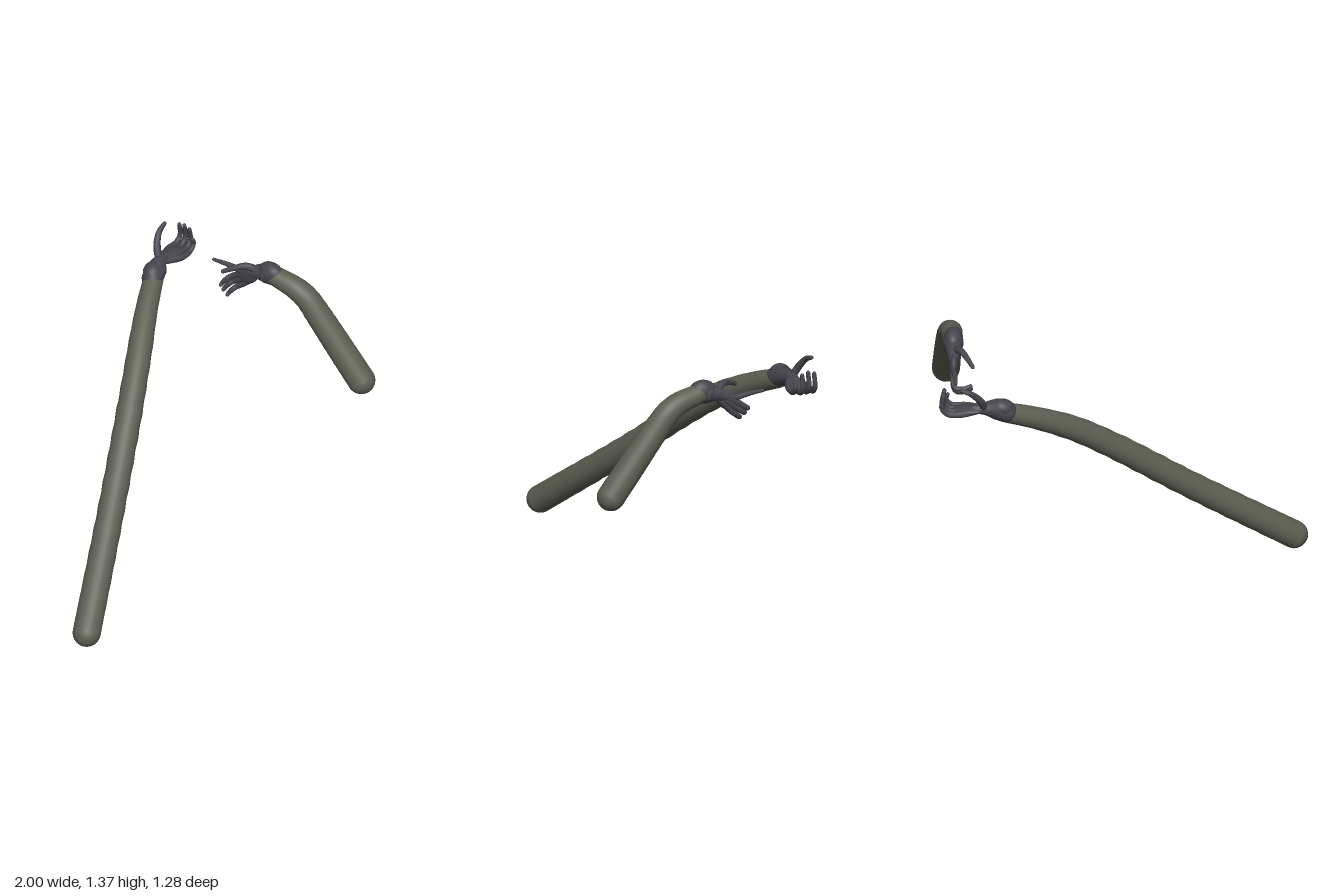
import * as THREE from 'three';
import { mergeGeometries } from 'three/addons/utils/BufferGeometryUtils.js';

const sleeveMat = new THREE.MeshStandardMaterial({ color: 0x5d5f53 });
sleeveMat.name = 'olive sleeve';
const skinMat = new THREE.MeshStandardMaterial({ color: 0x47454d });
skinMat.name = 'dark hand';

const vec = (p) => new THREE.Vector3(...p);

// Round-ended limb along a path; radii are spaced evenly along its length.
function limb(name, mat, points, radii, segments = 16, sides = 12, wobble = 0) {
  const curve = new THREE.CatmullRomCurve3(points.map(vec), false, 'centripetal');
  const radiusAt = (t) => {
    const f = t * (radii.length - 1);
    const i = Math.min(Math.floor(f), radii.length - 2);
    const wave = wobble * Math.sin(t * 95) * Math.sin(t * Math.PI);
    return THREE.MathUtils.lerp(radii[i], radii[i + 1], f - i) * (1 + wave);
  };
  const tube = new THREE.TubeGeometry(curve, segments, 1, sides);
  const pos = tube.attributes.position;
  const p = new THREE.Vector3();
  for (let i = 0; i <= segments; i++) {
    const c = curve.getPointAt(i / segments);
    for (let j = 0; j <= sides; j++) {
      const k = i * (sides + 1) + j;
      p.fromBufferAttribute(pos, k).sub(c).multiplyScalar(radiusAt(i / segments)).add(c);
      pos.setXYZ(k, p.x, p.y, p.z);
    }
  }
  const caps = [0, 1].map((t) => {
    const c = curve.getPointAt(t);
    return new THREE.SphereGeometry(radiusAt(t), sides, Math.ceil(sides / 2)).translate(c.x, c.y, c.z);
  });
  const mesh = new THREE.Mesh(mergeGeometries([tube, ...caps]), mat);
  mesh.name = name;
  return mesh;
}

// Ellipsoid with its first axis along `along` and its second close to `across`.
function ellipsoid(name, center, along, across, size) {
  const a = vec(along).normalize();
  const c = a.clone().cross(vec(across)).normalize();
  const b = c.clone().cross(a);
  const g = new THREE.SphereGeometry(1, 24, 16).scale(...size);
  g.applyMatrix4(new THREE.Matrix4().makeBasis(a, b, c));
  const mesh = new THREE.Mesh(g.translate(...center), skinMat);
  mesh.name = name;
  return mesh;
}

const finger = (name, points, radii = [0.017, 0.018, 0.015, 0.011]) =>
  limb(name, skinMat, points, radii, 18, 10);

// Long arm, palm up, with its fingers curled upwards
function longArm() {
  const arm = new THREE.Group();
  arm.name = 'longArm';
  arm.add(limb('longSleeve', sleeveMat, [
    [-0.925, 0.076, 0.208], [-0.4, 0.497, -0.04], [0, 0.835, -0.235],
    [0.2, 0.99, -0.34], [0.4, 1.11, -0.45], [0.55, 1.18, -0.525],
  ], [0.074, 0.072, 0.07, 0.069, 0.065, 0.053], 96, 24, 0.025));

  const hand = new THREE.Group();
  hand.name = 'curledHand';
  hand.add(
    limb('wrist', skinMat, [[0.54, 1.185, -0.525], [0.59, 1.205, -0.54], [0.65, 1.218, -0.56], [0.71, 1.215, -0.565]],
      [0.057, 0.056, 0.034, 0.022], 20, 20),
    ellipsoid('wristBone', [0.555, 1.215, -0.537], [0.85, 0.3, -0.35], [0, 1, 0], [0.062, 0.046, 0.05]),
    ellipsoid('palm', [0.735, 1.21, -0.56], [1, -0.05, 0.05], [0, 0, 1], [0.085, 0.05, 0.021]),
    finger('thumb', [[0.65, 1.225, -0.57], [0.672, 1.285, -0.6], [0.715, 1.335, -0.622], [0.77, 1.36, -0.628]],
      [0.021, 0.02, 0.016, 0.011]),
  );
  const tips = [1.275, 1.318, 1.328, 1.318];
  tips.forEach((y, i) => {
    const z = -0.503 - i * 0.034;
    const reach = i === 0 ? -0.015 : 0;
    hand.add(finger(`finger${i + 1}`, [
      [0.67, 1.213, -0.555 - (i - 1.5) * 0.01], [0.775 + reach, 1.203, z],
      [0.84 + reach, 1.203, z], [0.872 + reach, 1.235, z], [0.864 + reach, y - 0.01, z],
    ]));
  });
  arm.add(hand);
  return arm;
}

// Short bent arm with a pointing hand
function shortArm() {
  const arm = new THREE.Group();
  arm.name = 'shortArm';
  arm.add(limb('shortSleeve', sleeveMat, [
    [0.922, 0.81, 0.57], [0.908, 0.96, 0.448], [0.893, 1.12, 0.318],
    [0.883, 1.215, 0.235], [0.872, 1.255, 0.17], [0.855, 1.287, 0.05],
  ], [0.074, 0.073, 0.071, 0.068, 0.062, 0.053], 48, 24, 0.01));

  const hand = new THREE.Group();
  hand.name = 'pointingHand';
  hand.add(
    ellipsoid('wristBone', [0.85, 1.295, 0.02], [0, -0.15, -1], [0, 1, 0], [0.078, 0.064, 0.052]),
    limb('wrist', skinMat, [[0.85, 1.285, 0], [0.845, 1.27, -0.06], [0.84, 1.245, -0.11]],
      [0.055, 0.04, 0.024], 14, 18),
    ellipsoid('palm', [0.838, 1.222, -0.125], [0, -0.62, -0.78], [0, 0.78, -0.62], [0.08, 0.05, 0.021]),
    finger('thumb', [[0.842, 1.28, -0.06], [0.805, 1.305, -0.11], [0.765, 1.288, -0.165], [0.735, 1.265, -0.21]],
      [0.022, 0.019, 0.015, 0.011]),
    finger('indexFinger', [[0.845, 1.265, -0.07], [0.838, 1.232, -0.165], [0.828, 1.237, -0.245], [0.815, 1.236, -0.335]],
      [0.018, 0.018, 0.014, 0.009]),
  );
  // Three fingers bent inwards: knuckle and middle joint as [y, z]
  const bent = [
    [[1.205, -0.172], [1.155, -0.243]],
    [[1.18, -0.162], [1.133, -0.225]],
    [[1.158, -0.145], [1.112, -0.198]],
  ];
  bent.forEach(([[ky, kz], [jy, jz]], i) => hand.add(finger(`bentFinger${i + 1}`, [
    [0.845, 1.258 - i * 0.008, -0.08 + i * 0.006], [0.84, ky, kz], [0.825, jy, jz],
    [0.785, jy - 0.004, jz - 0.002], [0.745, jy + 0.006, jz + 0.012],
  ])));
  arm.add(hand);
  return arm;
}

export function createModel() {
  const model = new THREE.Group();
  model.name = 'pairOfArms';
  model.add(longArm(), shortArm());
  return model;
}
